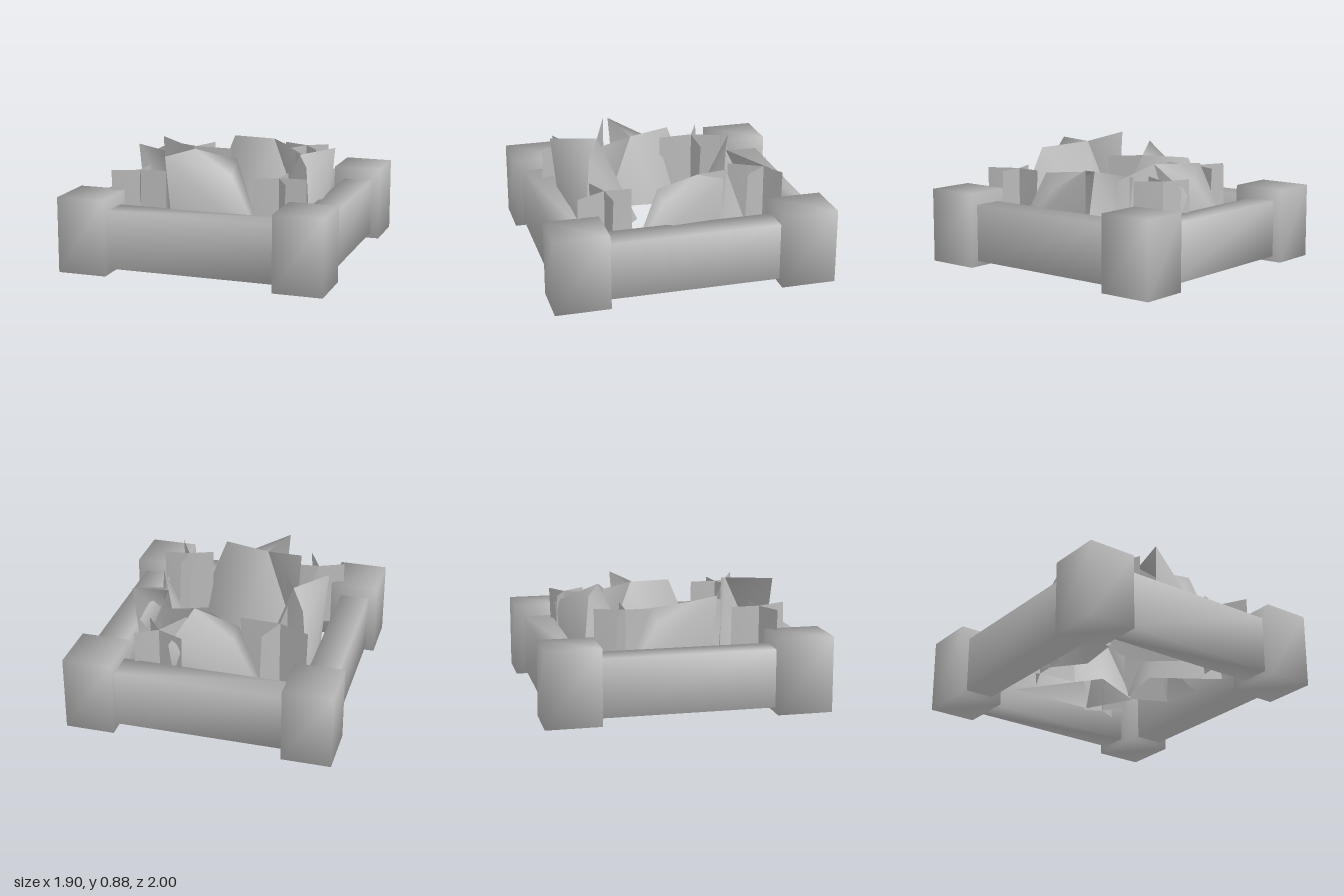
import * as THREE from 'three';
import { mergeVertices } from 'three/addons/utils/BufferGeometryUtils.js';

const grey = new THREE.MeshStandardMaterial({ color: 0xbcbcbc, side: THREE.DoubleSide });
grey.name = 'stoneGrey';

// Box with welded corners, so its shading runs softly round the edges
function softBox(name, w, h, d, x, y, z) {
  let geo = new THREE.BoxGeometry(w, h, d);
  geo.deleteAttribute('normal');
  geo.deleteAttribute('uv');
  geo = mergeVertices(geo);
  geo.computeVertexNormals();
  const mesh = new THREE.Mesh(geo, grey);
  mesh.name = name;
  mesh.position.set(x, y, z);
  return mesh;
}

// Thin smooth sheet from points and triangles
function sheet(name, points, faces) {
  const geo = new THREE.BufferGeometry();
  geo.setAttribute('position', new THREE.Float32BufferAttribute(points.flat(), 3));
  geo.setIndex(faces.flat());
  geo.computeVertexNormals();
  const mesh = new THREE.Mesh(geo, grey);
  mesh.name = name;
  return mesh;
}

// Tent-like leaf bush, given as offsets from its root and mapped on the ground plane
function bush(name, [rx, rz], [a, b, c, d], [innerY, outerY, ridgeY, tipY]) {
  const points = [
    [0, 0.2, 0],                   // 0 root
    [0.39, 0.22, -0.16],           // 1 inner corner
    [0.85, 0.18, 0.34],            // 2 far tip
    [0.18, 0.2, 0.37],             // 3 outer corner
    [0.24, innerY, 0.1],           // 4 inner crest
    [0.145, outerY, 0.43],         // 5 outer crest
    [0.6, ridgeY, 0.24],           // 6 ridge towards the far tip
    [-0.04, tipY, -0.01],          // 7 raised tip
    [0.55, ridgeY - 0.12, 0.22],   // 8 end of the fold in the outer leaf
  ].map(([x, y, z]) => [rx + a * x + b * z, y, rz + c * x + d * z]);
  const group = new THREE.Group();
  group.name = name;
  group.add(
    sheet('innerLeaf', points, [[0, 4, 1], [1, 4, 6], [1, 6, 2]]),
    sheet('outerLeaf', points, [[5, 8, 4], [4, 8, 6], [8, 2, 6], [5, 2, 8], [5, 3, 2]]),
    sheet('sideLeaf', points, [[0, 3, 4], [0, 4, 7]]),
  );
  return group;
}

// Upright blades fanning from one centre
function tuft(name, [cx, cz], arms) {
  const group = new THREE.Group();
  group.name = name;
  for (const [x, z] of arms) {
    const dx = x - cx, dz = z - cz, k = 0.02 / Math.hypot(dx, dz);
    const points = [
      [cx, 0.2, cz], [x - dz * k, 0.2, z + dx * k],
      [x, 0.68, z], [cx, 0.68, cz],
    ];
    group.add(sheet('blade', points, [[0, 1, 2], [0, 2, 3]]));
  }
  return group;
}

export function createModel() {
  const model = new THREE.Group();
  model.name = 'gardenBed';

  // Corner posts and beams
  for (const s of [-1, 1]) {
    for (const t of [-1, 1]) {
      model.add(softBox('cornerPost', 0.35, 0.535, 0.39, s * 0.775, 0.2675, t * 0.805));
    }
    model.add(softBox('crossBeam', 1.24, 0.41, 0.21, 0, 0.245, s * 0.83));
    model.add(softBox('sideBeam', 0.21, 0.41, 1.26, s * 0.782, 0.245, 0));
  }

  // Four leaf bushes
  model.add(
    bush('frontBush', [-0.38, 0.35], [1, 0, 0, 1], [0.825, 0.825, 0.8, 0.88]),
    bush('backBush', [0.41, -0.34], [-1, 0, 0, -0.95], [0.76, 0.62, 0.74, 0.66]),
    bush('rightBush', [-0.31, 0.35], [-0.108, -0.75, -0.94, 0.09], [0.715, 0.795, 0.71, 0.7]),
    bush('leftBush', [0.36, -0.35], [0.108, 0.74, 0.95, -0.09], [0.71, 0.755, 0.69, 0.68]),
  );

  // Four grass tufts
  model.add(
    tuft('frontRightTuft', [-0.5, 0.6], [[-0.5, 0.4], [-0.31, 0.58], [-0.4, 0.81], [-0.68, 0.68]]),
    tuft('frontLeftTuft', [0.51, 0.55], [[0.52, 0.36], [0.7, 0.53], [0.62, 0.76], [0.34, 0.62]]),
    tuft('backLeftTuft', [0.36, -0.66], [[0.17, -0.74], [0.51, -0.75], [0.48, -0.5], [0.23, -0.43]]),
    tuft('backRightTuft', [-0.43, -0.35], [[-0.35, -0.56], [-0.65, -0.45], [-0.14, -0.34], [-0.42, -0.1]]),
  );
  return model;
}
